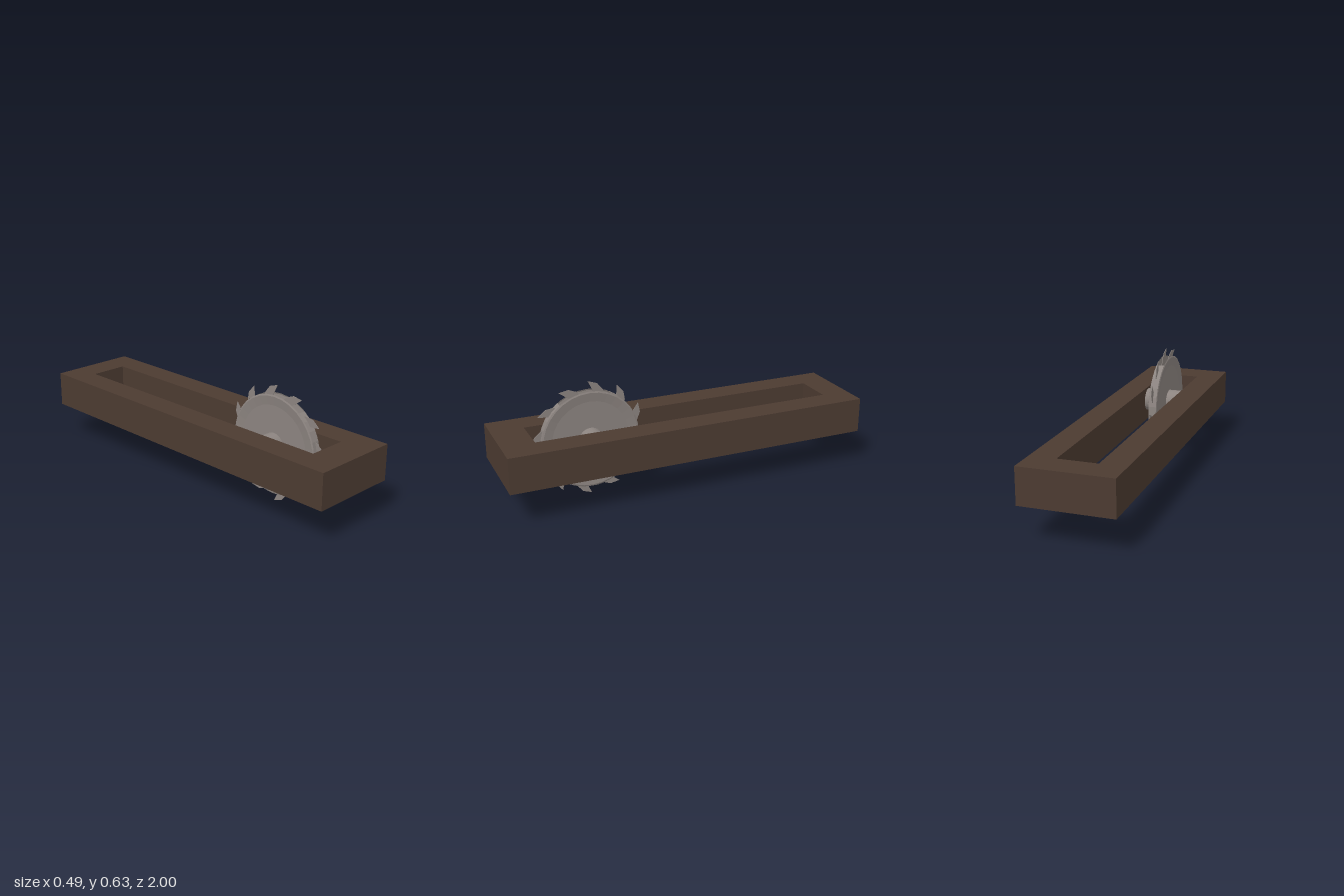
import * as THREE from 'three';

const rad = THREE.MathUtils.degToRad;

export function createModel() {
  const model = new THREE.Group();
  const wood = new THREE.MeshStandardMaterial({ color: 0x4c3b31, flatShading: true });
  const steel = new THREE.MeshStandardMaterial({ color: 0x8c8480, flatShading: true, side: THREE.DoubleSide });

  const add = (parent, name, geometry, material) => {
    const mesh = new THREE.Mesh(geometry, material);
    mesh.name = name;
    parent.add(mesh);
    return mesh;
  };
  const polygon = (points) => points.map(([x, y]) => new THREE.Vector2(x, y));

  // Rectangular frame with a long slot
  const outline = new THREE.Shape(polygon([[-0.245, -1], [0.245, -1], [0.245, 1], [-0.245, 1]]));
  outline.holes.push(new THREE.Path(polygon([[-0.105, -0.825], [-0.105, 0.845], [0.105, 0.845], [0.105, -0.825]])));
  const frame = new THREE.ExtrudeGeometry(outline, { depth: 0.193, bevelEnabled: false });
  frame.rotateX(-Math.PI / 2);
  add(model, 'frame', frame, wood).position.y = 0.2;

  // Saw wheel, turning about the x axis
  const saw = new THREE.Group();
  saw.name = 'sawWheel';
  saw.position.set(-0.005, 0.3185, 0.503);
  model.add(saw);

  // Slightly dished side plates
  for (const side of [-1, 1]) {
    const profile = polygon([[0, 0.019], [0.21, 0.019], [0.258, 0.025], [0.266, 0.022]]);
    const plate = new THREE.LatheGeometry(profile.map((p) => new THREE.Vector2(p.x, p.y * side)), 32);
    plate.rotateZ(-Math.PI / 2);
    add(saw, side > 0 ? 'leftPlate' : 'rightPlate', plate, steel);
  }

  // Rim between the plates, open at the top
  const rim = new THREE.LatheGeometry(polygon([[0.266, -0.022], [0.266, 0.022]]), 26, rad(-53), rad(297));
  rim.rotateZ(-Math.PI / 2);
  add(saw, 'rim', rim, steel);

  // Thin raked teeth
  const toothShape = new THREE.Shape(polygon([[0, 0.314], [-0.05, 0.297], [-0.078, 0.262], [-0.1, 0.2], [-0.05, 0.2], [-0.022, 0.266]]));
  const tooth = new THREE.ExtrudeGeometry(toothShape, { depth: 0.003, bevelEnabled: false });
  tooth.translate(0, 0, -0.0015);
  tooth.rotateY(-Math.PI / 2);
  for (let i = 0; i < 12; i++) {
    add(saw, 'tooth', tooth, steel).rotation.x = (i * Math.PI) / 6;
  }

  // Axle joining the wheel to the frame
  const axle = new THREE.CylinderGeometry(0.065, 0.065, 0.22, 32);
  axle.rotateZ(Math.PI / 2);
  add(model, 'axle', axle, steel).position.set(0, 0.3185, 0.503);

  return model;
}
